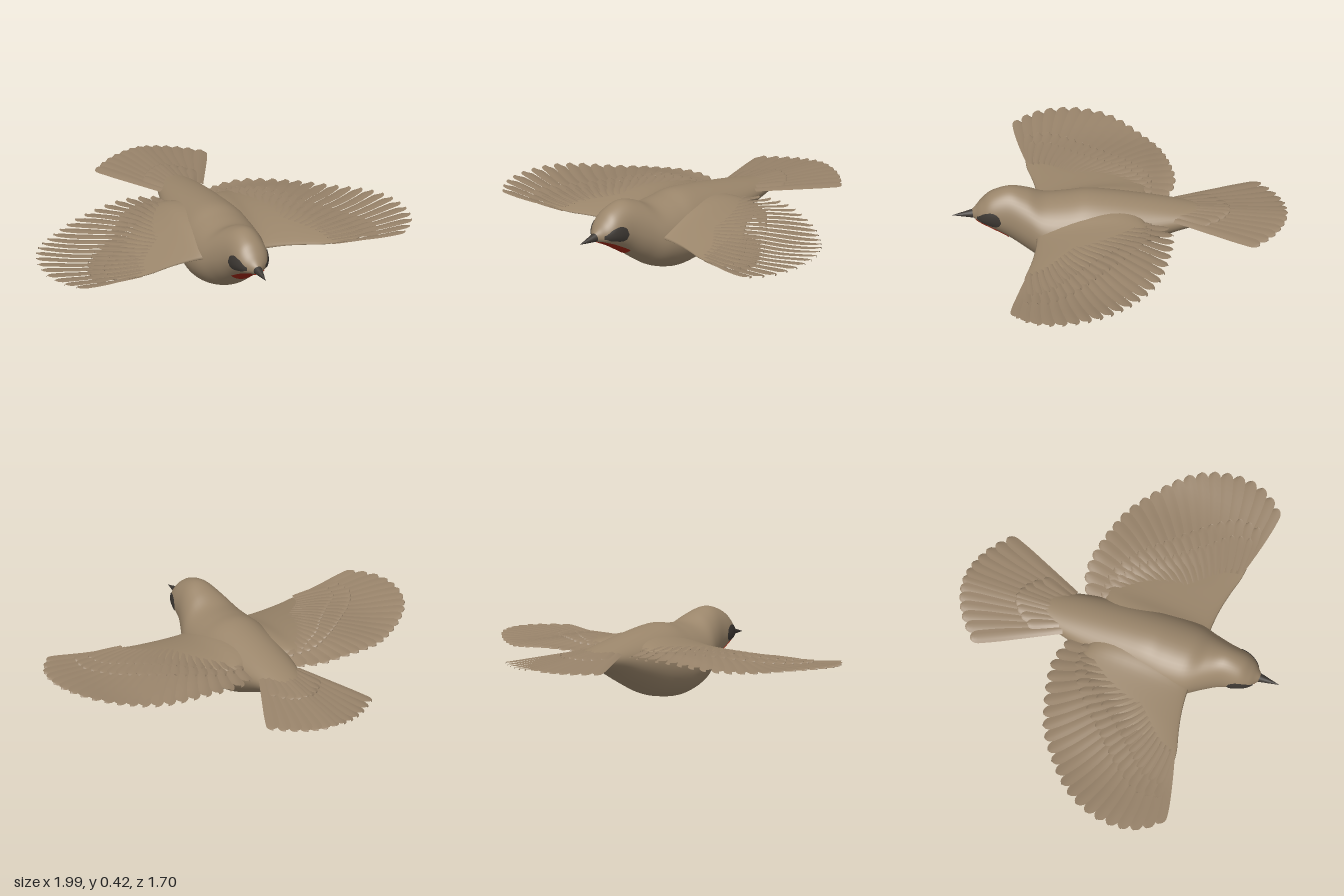
import * as THREE from 'three';
import { mergeGeometries, mergeVertices } from 'three/addons/utils/BufferGeometryUtils.js';

const plumage = new THREE.MeshStandardMaterial({ name: 'plumage tan', color: 0x9b866b });
const feathers = new THREE.MeshStandardMaterial({ name: 'feather tan', color: 0x98836a, side: THREE.DoubleSide });
const dark = new THREE.MeshStandardMaterial({ name: 'charcoal', color: 0x3d3833, side: THREE.DoubleSide });
const red = new THREE.MeshStandardMaterial({ name: 'throat red', color: 0x9c2614, side: THREE.DoubleSide });

const lerp = THREE.MathUtils.lerp;
const smooth = THREE.MathUtils.smoothstep;

// Smooth surface sampled from fn(s, t) -> [x, y, z]
function grid(fn, ns, nt) {
  const pos = [], index = [];
  for (let j = 0; j <= nt; j++)
    for (let i = 0; i <= ns; i++) pos.push(...fn(i / ns, j / nt));
  for (let j = 0; j < nt; j++)
    for (let i = 0; i < ns; i++) {
      const a = j * (ns + 1) + i, b = a + 1, c = a + ns + 1, d = c + 1;
      index.push(a, b, c, b, d, c);
    }
  let g = new THREE.BufferGeometry();
  g.setAttribute('position', new THREE.Float32BufferAttribute(pos, 3));
  g.setIndex(index);
  g = mergeVertices(g, 1e-5);
  g.computeVertexNormals();
  return g;
}

function add(group, name, geometry, material) {
  const m = new THREE.Mesh(geometry, material);
  m.name = name;
  group.add(m);
  return m;
}

// Body stations, head to rump: z, top, bottom, half width, height of widest point
const stations = [
  [0.75, 0.285, 0.25, 0.015, 0.267], [0.73, 0.308, 0.24, 0.038, 0.27],
  [0.70, 0.345, 0.226, 0.07, 0.275], [0.65, 0.39, 0.2, 0.093, 0.28],
  [0.56, 0.42, 0.145, 0.11, 0.27], [0.47, 0.402, 0.085, 0.145, 0.23],
  [0.38, 0.366, 0.032, 0.185, 0.19], [0.27, 0.372, 0.003, 0.2, 0.175],
  [0.17, 0.387, 0.008, 0.197, 0.18], [0.05, 0.378, 0.035, 0.185, 0.2],
  [-0.1, 0.358, 0.105, 0.16, 0.23], [-0.25, 0.335, 0.18, 0.125, 0.26],
  [-0.4, 0.31, 0.225, 0.085, 0.27], [-0.52, 0.295, 0.258, 0.035, 0.277],
  [-0.58, 0.285, 0.28, 0.003, 0.2825],
];
const spline = pts => new THREE.CatmullRomCurve3(pts.map(p => new THREE.Vector3(...p)), false, 'catmullrom', 0.5);
const heights = spline(stations.map(s => [s[0], s[1], s[2]]));
const widths = spline(stations.map(s => [s[3], s[4], 0]));

// Point on the body at station k and angle a from the top, pushed out by off
function bodyPoint(k, a, off = 0) {
  const u = k / (stations.length - 1);
  const h = heights.getPoint(u), w = widths.getPoint(u);
  const c = Math.cos(a);
  const r = c > 0 ? h.y - w.y : w.y - h.z;
  return [(w.x + off) * Math.sin(a), w.y + (r + off) * c, h.x];
}

// Height of the cambered wing surface
function wingY(x, z) {
  const s = THREE.MathUtils.clamp((0.46 - z) / 0.7, 0, 1);
  const camber = 0.083 * Math.sin(Math.min(1, s * 1.3) * Math.PI / 2) - 0.015 * smooth(s, 0.8, 1);
  return 0.212 + camber * lerp(1, 0.25, smooth(x, 0.3, 0.85)) + 0.022 * smooth(x, 0.65, 1);
}
const tailY = (x, z) => 0.302 + (z + 0.35) * 0.055 - 0.03 * Math.abs(x);

// Ridged blade from root to tip (x, z pairs) laid on a height function
function feather(root, tip, half, height, lift, tilt, bend = [0, 0]) {
  const curve = new THREE.QuadraticBezierCurve(
    new THREE.Vector2(...root),
    new THREE.Vector2((root[0] + tip[0]) / 2 + bend[0], (root[1] + tip[1]) / 2 + bend[1]),
    new THREE.Vector2(...tip));
  const tipStart = 1 - Math.min(0.4, half * 1.3 / curve.getLength());
  return grid((s, q) => {
    const t = 1 - (1 - q) ** 2, v = s * 2 - 1;
    const p = curve.getPoint(t), d = curve.getTangent(t);
    const e = Math.max(0, (t - tipStart) / (1 - tipStart));
    const w = half * lerp(0.6, 1, Math.min(1, t * 1.4)) * Math.sqrt(Math.max(0, 1 - e * e)) * v;
    const x = p.x - d.y * w, z = p.y + d.x * w;
    return [x, height(Math.abs(x), z) + lift + tilt * v + 0.005 * (1 - Math.abs(v)), z];
  }, 4, 14);
}

// Row of feathers between a line of roots and a line of tips
function featherRow(side, n, roots, tips, half, lift, bend) {
  const line = pts => spline(pts.map(p => [p[0], 0, p[1]]));
  const rc = line(roots), tc = line(tips), list = [];
  for (let i = 0; i < n; i++) {
    const r = rc.getPointAt(i / (n - 1)), t = tc.getPointAt(i / (n - 1));
    list.push(feather([side * r.x, r.z], [side * t.x, t.z], half, wingY, lift, 0.006 * side, [side * bend, bend]));
  }
  return mergeGeometries(list);
}

// Wing arm sections: x, front z, back z, half thickness
const armCurve = [
  [0.06, 0.41, -0.1, 0.06], [0.13, 0.42, -0.13, 0.052], [0.2, 0.42, -0.14, 0.034],
  [0.3, 0.43, -0.07, 0.024], [0.4, 0.45, 0.06, 0.019], [0.5, 0.475, 0.18, 0.015],
  [0.6, 0.48, 0.29, 0.011], [0.68, 0.46, 0.36, 0.007], [0.72, 0.43, 0.4, 0.002],
];
const armEdges = spline(armCurve.map(s => [s[0], s[1], s[2]]));
const armDepth = spline(armCurve.map(s => [s[3], 0, 0]));

function buildWing(side) {
  const wing = new THREE.Group();
  wing.name = side > 0 ? 'leftWing' : 'rightWing';
  add(wing, 'wingArm', grid((s, t) => {
    const a = -side * s * Math.PI * 2;
    const p = armEdges.getPoint(t), th = armDepth.getPoint(t).x;
    const z = (p.y + p.z) / 2 + (p.y - p.z) / 2 * Math.cos(a);
    return [side * p.x, wingY(p.x, z) + th * Math.sin(a), z];
  }, 32, 32), plumage);

  add(wing, 'flightFeathers', featherRow(side, 22,
    [[0.55, 0.46], [0.57, 0.39], [0.48, 0.28], [0.37, 0.16], [0.26, 0.06], [0.13, 0.02]],
    [[0.9, 0.52], [0.965, 0.44], [0.995, 0.34], [0.99, 0.22], [0.95, 0.1], [0.88, 0],
      [0.77, -0.1], [0.64, -0.19], [0.5, -0.24], [0.34, -0.275], [0.24, -0.275], [0.16, -0.25]],
    0.034, 0, 0.012), feathers);

  const covertRoots = [[0.52, 0.46], [0.5, 0.36], [0.4, 0.24], [0.3, 0.12], [0.14, 0.05]];
  const covertTips = [[0.77, 0.46], [0.78, 0.36], [0.7, 0.23], [0.57, 0.09], [0.42, -0.06], [0.28, -0.15], [0.15, -0.16]];
  add(wing, 'upperCoverts', featherRow(side, 20, covertRoots, covertTips, 0.026, 0.01, 0.01), feathers);
  add(wing, 'lowerCoverts', featherRow(side, 20, covertRoots, covertTips, 0.026, -0.012, 0.01), feathers);
  add(wing, 'smallCoverts', featherRow(side, 18,
    [[0.5, 0.45], [0.47, 0.37], [0.36, 0.25], [0.26, 0.15], [0.15, 0.1]],
    [[0.7, 0.44], [0.68, 0.35], [0.58, 0.24], [0.46, 0.1], [0.36, -0.03], [0.22, -0.14]],
    0.022, 0.016, 0.008), feathers);
  return wing;
}

// Fan of feathers; a runs from -1 to 1 across it
function fan(n, half, lift, root, tip) {
  const list = [];
  for (let i = 0; i < n; i++) {
    const a = i / (n - 1) * 2 - 1;
    list.push(feather(root(a), tip(a), half, tailY, lift - 0.008 * Math.abs(a), -0.004 * Math.sign(a)));
  }
  return mergeGeometries(list);
}

export function createModel() {
  const bird = new THREE.Group();
  bird.name = 'bird';

  add(bird, 'body', grid((s, t) => bodyPoint(t * (stations.length - 1), s * Math.PI * 2), 48, 84), plumage);

  // Beak
  const beakShape = new THREE.ConeGeometry(0.027, 0.125, 20);
  beakShape.rotateX(Math.PI / 2);
  const beak = add(bird, 'beak', beakShape, dark);
  beak.position.set(0, 0.26, 0.787);
  beak.rotation.x = 0.13;

  // Eye masks: rounded behind, tapering towards the beak
  for (const side of [1, -1])
    add(bird, side > 0 ? 'leftEyeMask' : 'rightEyeMask', grid((s, t) => {
      const spread = 0.43 * Math.sqrt(Math.max(0, 1 - Math.max(0, (t - 0.7) / 0.3) ** 2)) * lerp(0.5, 1, smooth(t, 0, 0.45));
      const a = 1.62 + (s * 2 - 1) * spread;
      return bodyPoint(lerp(1.3, 3.58, t), side * a, 0.004);
    }, 10, 20), dark);

  // Throat patch
  add(bird, 'throatPatch', grid((s, t) =>
    bodyPoint(lerp(1, 4, t), Math.PI + (s * 2 - 1) * lerp(0.85, 0.68, t), 0.004), 14, 20), red);

  bird.add(buildWing(1), buildWing(-1));

  // Tail
  const tail = new THREE.Group();
  tail.name = 'tail';
  add(tail, 'tailFeathers', fan(13, 0.034, 0,
    a => [0.1 * a, -0.28], a => [0.285 * a, -0.85 + 0.14 * a * a]), feathers);
  add(tail, 'tailCoverts', fan(9, 0.026, 0.009,
    a => [0.07 * a, -0.28], a => [0.13 * a, -0.56 + 0.1 * a * a]), feathers);
  bird.add(tail);

  return bird;
}
